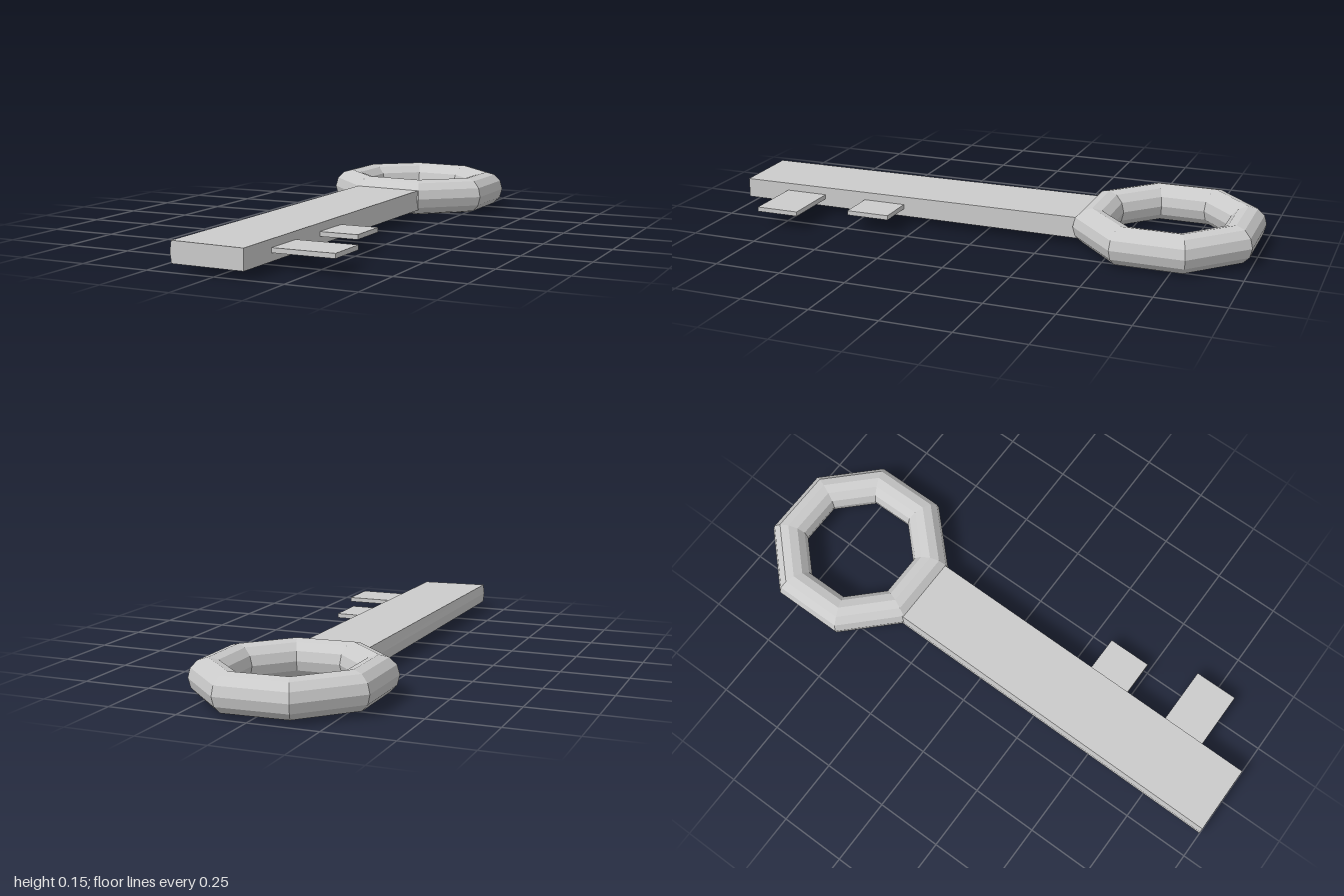
import * as THREE from 'three';

const material = new THREE.MeshStandardMaterial({ color: 0xcccccc, flatShading: true });

function part(name, geometry) {
  const mesh = new THREE.Mesh(geometry, material);
  mesh.name = name;
  return mesh;
}

export function createModel() {
  const key = new THREE.Group();
  key.name = 'key';

  // Octagonal ring handle, leaning very slightly sideways
  const ring = new THREE.TorusGeometry(0.282, 0.07, 12, 8);
  ring.rotateZ(Math.PI / 8);
  ring.rotateX(Math.PI / 2);
  ring.rotateZ(-0.0135);
  ring.translate(-0.013, 0.076, -0.675);
  key.add(part('bow', ring));

  // Flat shaft with a faint ridge along one side
  const section = new THREE.Shape([
    [-0.152, 0.032], [0.112, 0.03], [0.112, 0.106], [-0.152, 0.11], [-0.157, 0.07],
  ].map(([x, y]) => new THREE.Vector2(x, y)));
  const zBack = -0.42, zFront = 1;
  const shaft = new THREE.ExtrudeGeometry(section, { depth: zFront - zBack, bevelEnabled: false });
  shaft.translate(0, 0, zBack);

  // Slight drift to the side and thinning towards the tip
  const p = shaft.attributes.position;
  for (let i = 0; i < p.count; i++) {
    const z = p.getZ(i);
    p.setX(i, p.getX(i) - 0.005 * (z - 0.4));
    if (p.getY(i) > 0.09) p.setY(i, p.getY(i) - 0.004 * (z - 0.3));
  }
  shaft.computeVertexNormals();
  key.add(part('shaft', shaft));

  // Thin teeth on the left side: outer x, start z, end z
  const teeth = [['innerTooth', 0.255, 0.325, 0.49], ['outerTooth', 0.338, 0.66, 0.825]];
  for (const [name, xEnd, z0, z1] of teeth) {
    const xStart = 0.1;
    const tooth = new THREE.BoxGeometry(xEnd - xStart, 0.017, z1 - z0);
    tooth.translate((xStart + xEnd) / 2, 0.067, (z0 + z1) / 2);
    key.add(part(name, tooth));
  }

  return key;
}
